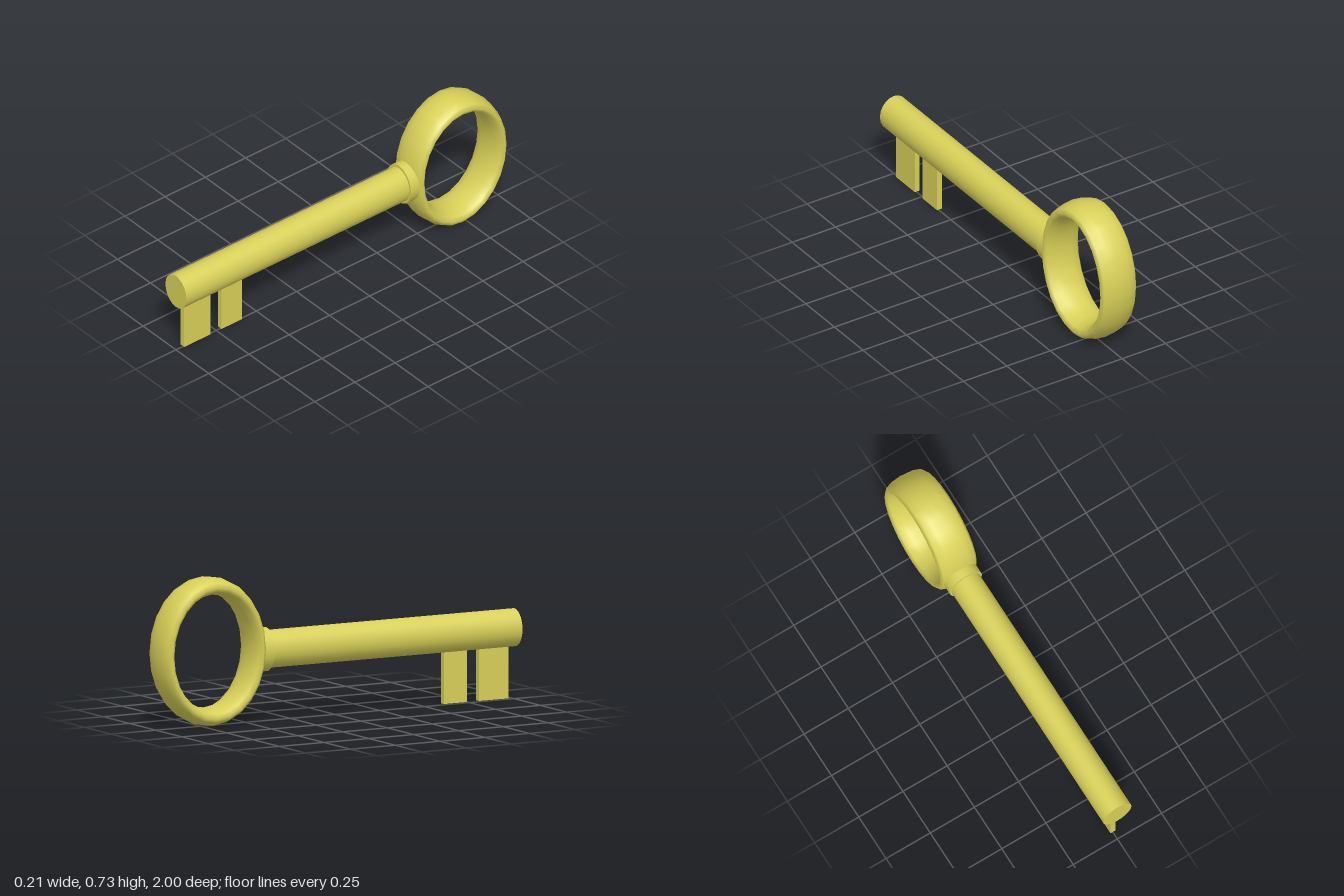
import * as THREE from 'three';

export function createModel() {
  const key = new THREE.Group();
  key.name = 'key';
  const brass = new THREE.MeshStandardMaterial({ color: 0xd8d058 });

  const add = (name, geometry, x, y, z) => {
    const mesh = new THREE.Mesh(geometry, brass);
    mesh.name = name;
    mesh.position.set(x, y, z);
    key.add(mesh);
  };

  // Oval rod lying along z between two depths
  const rod = (rx, ry, z0, z1) =>
    new THREE.CylinderGeometry(1, 1, z1 - z0, 20)
      .rotateX(Math.PI / 2)
      .scale(rx, ry, 1)
      .translate(0, 0, (z0 + z1) / 2);

  const shaftY = 0.352;
  add('shaft', rod(0.08, 0.093, -0.42, 1), 0, shaftY, 0);
  add('collar', rod(0.091, 0.108, -0.445, -0.387), 0, shaftY, 0);

  // Bow: a torus stretched into a wide oval ring
  const bow = new THREE.TorusGeometry(1, 0.135, 12, 24)
    .rotateY(Math.PI / 2)
    .scale(0.763, 0.32, 0.2555);
  add('bow', bow, 0, 0.367, -0.71);

  // Teeth: two thin plates hanging from the shaft
  const top = 0.3, bottom = 0.01;
  for (const [name, z0, z1] of [['frontTooth', 0.795, 0.96], ['rearTooth', 0.6, 0.728]]) {
    add(name, new THREE.BoxGeometry(0.028, top - bottom, z1 - z0), 0, (top + bottom) / 2, (z0 + z1) / 2);
  }
  return key;
}
